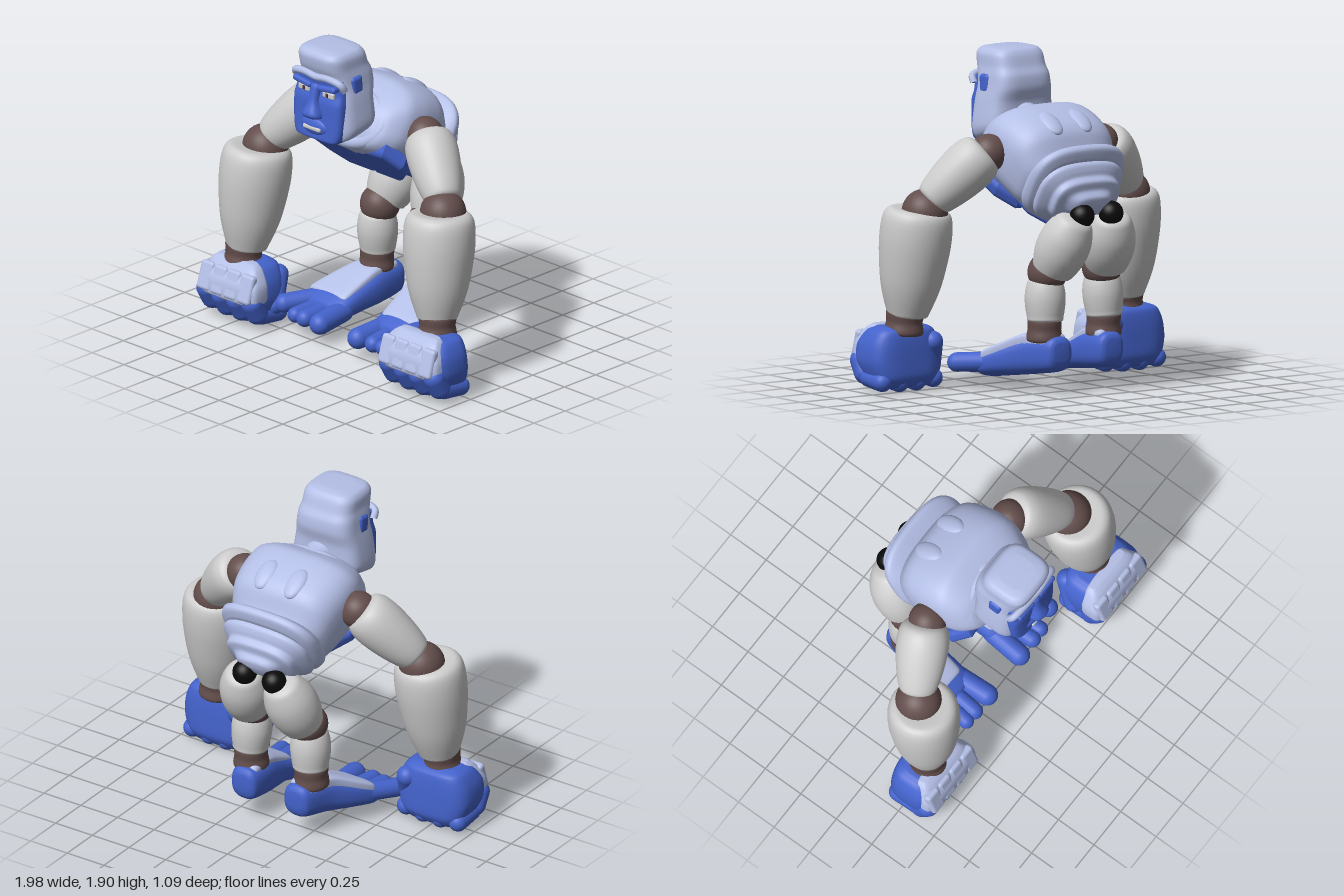
import * as THREE from 'three';
import { RoundedBoxGeometry } from 'three/addons/geometries/RoundedBoxGeometry.js';

const V = (x, y, z) => new THREE.Vector3(x, y, z);
const mat = (color) => new THREE.MeshStandardMaterial({ color });
const GREY = mat(0xcccccc), FUR = mat(0xb4bfe6), BLUE = mat(0x4463cc);
const BROWN = mat(0x634e4c), BLACK = mat(0x0a0a0a), DARK = mat(0x4a2a3a);

function add(parent, name, geo, material, x = 0, y = 0, z = 0) {
  const m = new THREE.Mesh(geo, material);
  m.name = name;
  m.position.set(x, y, z);
  parent.add(m);
  return m;
}

// Smooth closed skin through superellipse sections { c: centre, a, b: half axes }
function loft(sections, power = 0.7, n = 40, sub = 4) {
  const [C, A, B] = ['c', 'a', 'b'].map((k) => new THREE.CatmullRomCurve3(sections.map((s) => s[k]), false, 'catmullrom', 0.4));
  const rows = (sections.length - 1) * sub, pos = [], idx = [];
  const p = (v) => Math.sign(v) * Math.abs(v) ** power;
  for (let i = 0; i <= rows; i++) {
    const c = C.getPoint(i / rows), a = A.getPoint(i / rows), b = B.getPoint(i / rows);
    for (let j = 0; j < n; j++) {
      const t = (j / n) * Math.PI * 2;
      pos.push(...c.clone().addScaledVector(a, p(Math.cos(t))).addScaledVector(b, p(Math.sin(t))).toArray());
    }
  }
  pos.push(...sections[0].c.toArray(), ...sections.at(-1).c.toArray());
  const end = (rows + 1) * n;
  for (let j = 0; j < n; j++) {
    const k = (j + 1) % n;
    for (let i = 0; i < rows; i++) {
      const q = i * n, r = q + n;
      idx.push(q + j, q + k, r + j, q + k, r + k, r + j);
    }
    idx.push(end, k, j, end + 1, rows * n + j, rows * n + k);
  }
  // Turn the skin outward whichever way the sections run
  const s0 = sections[0], along = sections.at(-1).c.clone().sub(s0.c);
  const mid = sections[sections.length >> 1];
  if (mid.a.clone().cross(mid.b).dot(along) < 0) idx.reverse();
  const g = new THREE.BufferGeometry();
  g.setAttribute('position', new THREE.Float32BufferAttribute(pos, 3));
  g.setIndex(idx);
  g.computeVertexNormals();
  return g;
}
// Sections stacked along z (bottom/top) or along y (back/front, with forward tilt)
const secZ = ([z, x, w, y0, y1]) => ({ c: V(x, (y0 + y1) / 2, z), a: V(w, 0, 0), b: V(0, (y1 - y0) / 2, 0) });
const secY = ([y, x, w, z0, z1, tilt = 0]) => ({ c: V(x, y, (z0 + z1) / 2), a: V(w, 0, 0), b: V(0, tilt, (z1 - z0) / 2) });

// Turned limb from p to q; profile holds [radius, fraction of length]
function limb(parent, name, p, q, profile, material) {
  const len = p.distanceTo(q);
  const pts = new THREE.SplineCurve(profile.map(([r, t]) => new THREE.Vector2(r, t * len))).getPoints(36);
  pts.forEach((v) => { v.x = Math.max(0, v.x); });
  const m = add(parent, name, new THREE.LatheGeometry(pts, 36), material, p.x, p.y, p.z);
  m.quaternion.setFromUnitVectors(V(0, 1, 0), q.clone().sub(p).normalize());
}
function capsule(parent, name, p, q, r, material) {
  const mid = p.clone().add(q).multiplyScalar(0.5);
  const m = add(parent, name, new THREE.CapsuleGeometry(r, p.distanceTo(q), 8, 20), material, mid.x, mid.y, mid.z);
  m.quaternion.setFromUnitVectors(V(0, 1, 0), q.clone().sub(p).normalize());
}
function ball(parent, name, r, material, x, y, z, sx = 1, sy = 1, sz = 1) {
  add(parent, name, new THREE.SphereGeometry(r, 32, 20), material, x, y, z).scale.set(sx, sy, sz);
}

function buildTorso(root) {
  const g = new THREE.Group();
  g.name = 'torso';
  g.position.set(0, 1.35, 0);
  g.rotation.x = -0.548; // spine slopes down to the rear
  root.add(g);
  add(g, 'ribcage', loft([
    [0.25, 0, 0.15, -0.08, 0.04], [0.21, 0, 0.27, -0.18, 0.12], [0.12, 0, 0.34, -0.21, 0.235],
    [0, 0, 0.355, -0.22, 0.272], [-0.12, 0, 0.345, -0.22, 0.282], [-0.19, 0, 0.33, -0.22, 0.26],
    [-0.26, 0, 0.305, -0.21, 0.2], [-0.32, 0, 0.26, -0.19, 0.16]].map(secZ)), FUR);
  add(g, 'waistRidge', loft([
    [-0.25, 0, 0.26, -0.19, 0.14], [-0.28, 0, 0.295, -0.215, 0.21], [-0.315, 0, 0.315, -0.22, 0.275],
    [-0.355, 0, 0.305, -0.21, 0.272], [-0.38, 0, 0.27, -0.19, 0.215]].map(secZ)), FUR);
  add(g, 'pelvis', loft([
    [-0.34, 0, 0.27, -0.19, 0.2], [-0.4, 0, 0.28, -0.195, 0.205], [-0.43, 0, 0.25, -0.175, 0.18],
    [-0.45, 0, 0.225, -0.15, 0.155], [-0.49, 0, 0.215, -0.13, 0.145], [-0.51, 0, 0.16, -0.08, 0.1],
    [-0.55, 0, 0.11, -0.05, 0.08], [-0.565, 0, 0.05, -0.01, 0.04]].map(secZ)), FUR);
  for (const s of [-1, 1]) {
    ball(g, 'shoulderBlade', 0.1, FUR, s * 0.1, 0.262, -0.09, 0.6, 0.32, 1);
    // Rounded plate under the torso, its face raised toward the front
    const plate = (name, pts, y, depth, slope) => {
      const shape = new THREE.Shape(pts.map(([x, z]) => new THREE.Vector2(x * s, z)));
      const geo = new THREE.ExtrudeGeometry(shape, { depth, bevelThickness: 0.035, bevelSize: 0.035, bevelOffset: -0.03, bevelSegments: 6 });
      geo.rotateX(Math.PI / 2);
      const p = geo.attributes.position;
      for (let i = 0; i < p.count; i++) p.setY(i, p.getY(i) + slope * p.getZ(i));
      geo.computeVertexNormals();
      add(g, name, geo, BLUE, 0, y, 0);
    };
    plate('chestPlate', [[0.003, 0.1], [0.12, 0.14], [0.29, 0.165], [0.355, 0.04], [0.3, -0.08], [0.2, -0.18], [0.003, -0.18]], -0.175, 0.025, 0.25);
    plate('bellyPlate', [[0, -0.12], [0.22, -0.12], [0.21, -0.29], [0.14, -0.4], [0, -0.4]], -0.14, 0.05, 0);
  }
  const collar = add(g, 'collar', new THREE.TorusGeometry(0.19, 0.05, 16, 48), FUR, 0, -0.035, 0.19);
  collar.scale.set(1.15, 0.75, 0.8);
  limb(root, 'neck', V(0, 1.43, 0.02), V(0, 1.56, 0.32), [[0, 0], [0.13, 0.05], [0.1, 0.5], [0.1, 0.95], [0, 1]], FUR);
}

function buildHead(root) {
  const g = new THREE.Group();
  g.name = 'head';
  g.position.x = -0.01;
  root.add(g);
  add(g, 'hood', loft([
    [1.39, 0, 0.17, 0.2, 0.435, -0.03], [1.415, 0, 0.21, 0.165, 0.45, -0.03], [1.47, 0, 0.226, 0.155, 0.455, -0.02],
    [1.6, 0, 0.208, 0.155, 0.45], [1.68, 0, 0.192, 0.135, 0.445], [1.75, 0, 0.182, 0.14, 0.455],
    [1.8, 0, 0.172, 0.165, 0.475], [1.86, 0, 0.168, 0.185, 0.485], [1.893, 0, 0.145, 0.21, 0.465], [1.905, 0, 0.09, 0.26, 0.42]].map(secY), 0.55), FUR);
  add(g, 'face', loft([
    [1.36, 0, 0.13, 0.36, 0.465], [1.375, 0, 0.165, 0.33, 0.485], [1.43, 0, 0.182, 0.33, 0.482],
    [1.52, 0, 0.187, 0.33, 0.478], [1.6, 0, 0.187, 0.33, 0.475], [1.66, 0, 0.178, 0.33, 0.458], [1.74, 0, 0.165, 0.33, 0.47]].map(secY), 0.45), BLUE);
  add(g, 'nose', loft([
    [1.495, 0, 0.035, 0.42, 0.5], [1.51, 0, 0.062, 0.42, 0.53], [1.535, 0, 0.06, 0.42, 0.54],
    [1.6, 0, 0.034, 0.42, 0.51], [1.7, 0, 0.03, 0.42, 0.485]].map(secY), 0.8), BLUE);
  ball(g, 'muzzle', 0.11, BLUE, 0, 1.445, 0.465, 1, 0.5, 0.32);
  add(g, 'mouth', new RoundedBoxGeometry(0.135, 0.025, 0.04, 3, 0.01), GREY, 0, 1.438, 0.485);
  // Fur brow sagging at both ends
  const brow = new THREE.CatmullRomCurve3([V(-0.185, 1.69, 0.42), V(-0.178, 1.73, 0.445), V(-0.09, 1.75, 0.46),
    V(0, 1.742, 0.463), V(0.09, 1.75, 0.46), V(0.178, 1.73, 0.445), V(0.185, 1.69, 0.42)]);
  add(g, 'furBrow', new THREE.TubeGeometry(brow, 48, 0.021, 12), FUR);
  for (const s of [-1, 1]) {
    add(g, 'eye', new RoundedBoxGeometry(0.09, 0.038, 0.03, 3, 0.01), GREY, s * 0.095, 1.652, 0.452);
    add(g, 'pupil', new RoundedBoxGeometry(0.02, 0.024, 0.02, 2, 0.006), DARK, s * 0.09, 1.652, 0.462);
    const lid = add(g, 'eyeRidge', new RoundedBoxGeometry(0.14, 0.035, 0.05, 4, 0.015), BLUE, s * 0.095, 1.693, 0.463);
    lid.rotation.z = s * 0.12;
    add(g, 'ear', new RoundedBoxGeometry(0.05, 0.11, 0.085, 4, 0.022), BLUE, s * 0.172, 1.7, 0.32).rotation.x = 0.1;
  }
}

function buildArm(root, s) {
  const g = new THREE.Group();
  g.name = s > 0 ? 'leftArm' : 'rightArm';
  root.add(g);
  const P = (x, y, z) => V(s * x, y, z);
  ball(g, 'shoulderJoint', 0.108, BROWN, s * 0.385, 1.36, -0.01);
  limb(g, 'upperArm', P(0.69, 1.08, 0.145), P(0.4, 1.38, -0.015),
    [[0, 0], [0.085, 0.03], [0.115, 0.14], [0.14, 0.42], [0.15, 0.7], [0.138, 0.88], [0.1, 0.97], [0, 1]], GREY);
  ball(g, 'elbowJoint', 0.132, BROWN, s * 0.7, 1.03, 0.165);
  limb(g, 'forearm', P(0.75, 0.43, 0.265), P(0.715, 1.045, 0.205),
    [[0, 0], [0.1, 0.005], [0.125, 0.06], [0.172, 0.3], [0.2, 0.6], [0.205, 0.8], [0.195, 0.93], [0.168, 0.99], [0.12, 1], [0, 0.98]], GREY);
  limb(g, 'wristJoint', P(0.765, 0.33, 0.28), P(0.76, 0.47, 0.27), [[0, 0], [0.105, 0.02], [0.103, 0.5], [0.1, 0.98], [0, 1]], BROWN);

  const hand = new THREE.Group();
  hand.name = 'hand';
  hand.position.z = s > 0 ? 0.01 : -0.055;
  g.add(hand);
  add(hand, 'fist', loft([
    [0.035, s * 0.75, 0.17, 0.21, 0.38], [0.09, s * 0.75, 0.21, 0.18, 0.445], [0.18, s * 0.755, 0.235, 0.18, 0.495],
    [0.28, s * 0.755, 0.225, 0.185, 0.495], [0.355, s * 0.755, 0.185, 0.2, 0.44], [0.38, s * 0.755, 0.13, 0.25, 0.4]].map(secY), 0.6), BLUE);
  add(hand, 'handBack', loft([
    [0.165, s * 0.745, 0.205, 0.37, 0.505], [0.19, s * 0.745, 0.228, 0.35, 0.52], [0.28, s * 0.742, 0.222, 0.35, 0.507],
    [0.36, s * 0.745, 0.175, 0.35, 0.452], [0.388, s * 0.75, 0.14, 0.36, 0.41]].map(secY), 0.5), FUR);
  for (let i = 0; i < 4; i++) {
    const x = 0.575 + i * 0.117, y = 0.08 + 0.01 * Math.abs(i - 1.5);
    const k = add(hand, 'knuckle', new RoundedBoxGeometry(0.1, 0.17, 0.05, 4, 0.02), FUR, s * (0.745 + (i - 1.5) * 0.104), 0.265, 0.482);
    k.rotation.x = -0.3;
    capsule(hand, 'finger', P(x, y + 0.08, 0.455), P(x, y + 0.01, 0.415), 0.063, BLUE);
    capsule(hand, 'fingerTip', P(x, y - 0.01, 0.38), P(x, y - 0.025, 0.25), 0.055, BLUE);
  }
  capsule(hand, 'thumb', P(0.6, 0.28, 0.22), P(0.56, 0.13, 0.3), 0.06, BLUE);
}

function buildLeg(root, s) {
  const g = new THREE.Group();
  g.name = s > 0 ? 'leftLeg' : 'rightLeg';
  g.position.x = -0.03;
  root.add(g);
  const P = (x, y, z) => V(s * x, y, z);
  ball(g, 'hipJoint', 0.07, BLACK, s * 0.1, 1.03, -0.475);
  limb(g, 'thigh', P(0.188, 0.7, -0.3), P(0.122, 1.03, -0.46),
    [[0, 0], [0.1, 0.01], [0.124, 0.08], [0.148, 0.33], [0.147, 0.6], [0.12, 0.83], [0.085, 0.95], [0, 1]], GREY);
  ball(g, 'kneeJoint', 0.114, BROWN, s * 0.188, 0.695, -0.265);
  limb(g, 'shin', P(0.205, 0.41, -0.265), P(0.195, 0.67, -0.25),
    [[0, 0], [0.09, 0.02], [0.105, 0.15], [0.116, 0.5], [0.106, 0.8], [0.08, 0.96], [0, 1]], GREY);
  limb(g, 'ankleJoint', P(0.205, 0.3, -0.255), P(0.205, 0.44, -0.26), [[0, 0], [0.095, 0.03], [0.095, 0.5], [0.088, 0.97], [0, 1]], BROWN);

  // Foot slopes down and fans outward to the toes
  add(g, 'foot', loft([
    [-0.39, s * 0.18, 0.05, 0.2, 0.3], [-0.36, s * 0.18, 0.085, 0.14, 0.335], [-0.2, s * 0.2, 0.112, 0.11, 0.335],
    [-0.05, s * 0.245, 0.142, 0.09, 0.28], [0.07, s * 0.272, 0.16, 0.075, 0.228], [0.14, s * 0.265, 0.13, 0.08, 0.18]].map(secZ), 0.75), BLUE);
  add(g, 'instep', loft([
    [-0.345, s * 0.19, 0.06, 0.27, 0.335], [-0.32, s * 0.19, 0.078, 0.26, 0.352], [-0.18, s * 0.212, 0.095, 0.26, 0.35],
    [-0.04, s * 0.257, 0.125, 0.2, 0.288], [0.05, s * 0.282, 0.14, 0.16, 0.244], [0.07, s * 0.284, 0.125, 0.17, 0.226]].map(secZ), 0.55), FUR);
  const toes = [[0.165, 0.15, 0.062], [0.255, 0.27, 0.05], [0.32, 0.345, 0.045]];
  for (const [x0, x1, r] of toes) capsule(g, 'toe', P(x0, 0.14, 0.06), P(x1, 0.125, 0.255), r, BLUE);
  capsule(g, 'bigToe', P(0.34, 0.17, 0), P(0.468, 0.15, 0.22), 0.055, BLUE);
}

export function createModel() {
  const root = new THREE.Group();
  root.name = 'ape';
  buildTorso(root);
  buildHead(root);
  for (const s of [-1, 1]) {
    buildArm(root, s);
    buildLeg(root, s);
  }
  return root;
}
